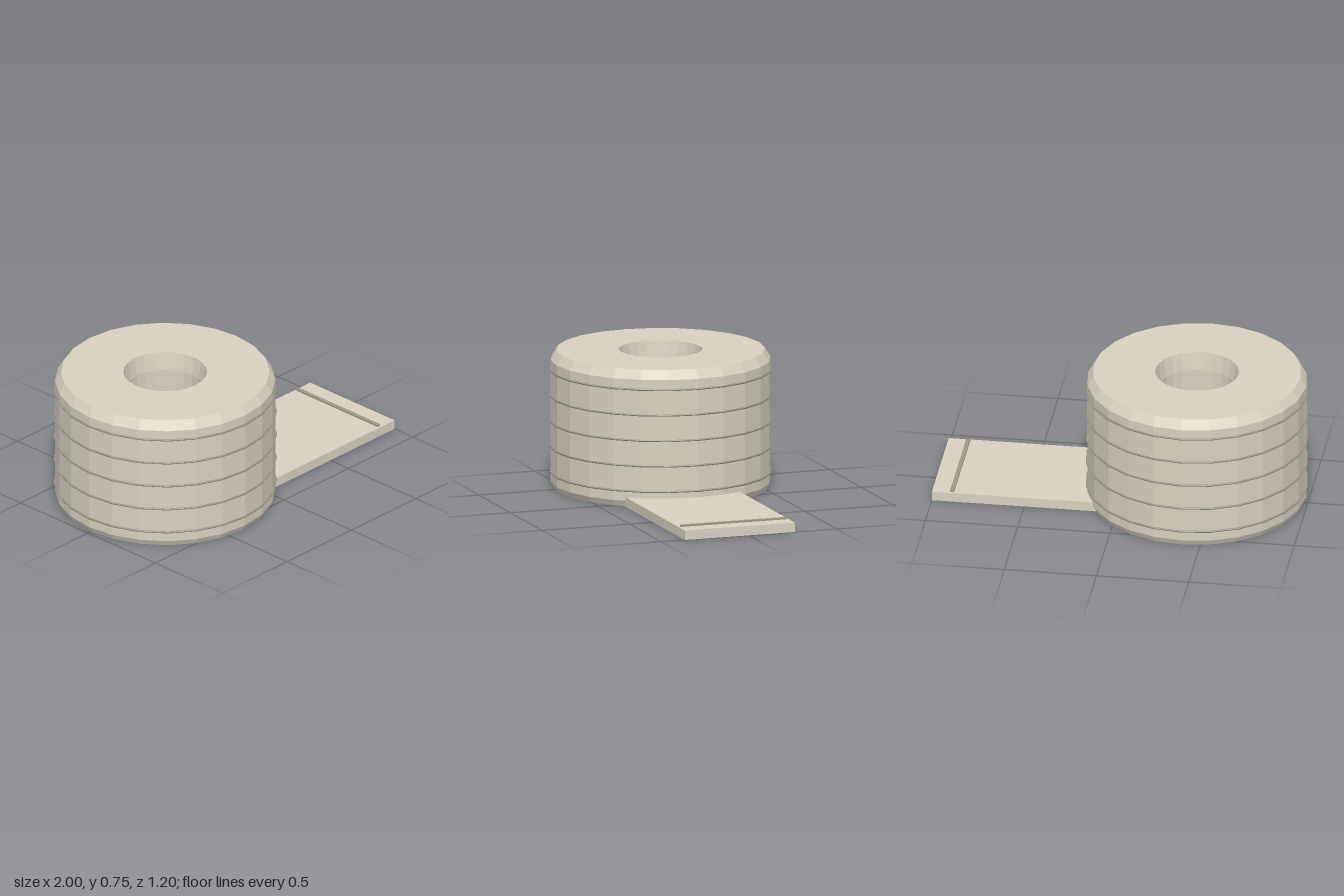
import * as THREE from 'three';

const SIDES = 24;
const CENTRE_X = -0.4;

// Faceted look: every face gets its own normal
function faceted(geometry) {
  const g = geometry.toNonIndexed();
  g.computeVertexNormals();
  return g;
}

export function createModel() {
  const paper = new THREE.MeshStandardMaterial({ name: 'paper', color: 0xd8d1c0 });
  const line = new THREE.MeshStandardMaterial({ name: 'perforation', color: 0x9c9785 });

  const model = new THREE.Group();
  model.name = 'paperRoll';
  const add = (name, geometry, material, x, y, z) => {
    const mesh = new THREE.Mesh(geometry, material);
    mesh.name = name;
    mesh.position.set(x, y, z);
    model.add(mesh);
    return mesh;
  };

  // Roll with bevelled rims and a hollow core, one closed profile
  const profile = [
    [0.21, 0], [0.575, 0], [0.592, 0.033], [0.592, 0.7],
    [0.56, 0.75], [0.225, 0.75], [0.21, 0.65], [0.21, 0],
  ].map(([r, y]) => new THREE.Vector2(r, y));
  add('roll', faceted(new THREE.LatheGeometry(profile, SIDES)), paper, CENTRE_X, 0, 0);

  // Perforation rings around the roll
  const ringGeometry = faceted(new THREE.TorusGeometry(0.594, 0.006, 6, SIDES).rotateX(Math.PI / 2));
  for (let i = 0; i < 5; i++) {
    add(`perforationRing${i + 1}`, ringGeometry, line, CENTRE_X, 0.088 + i * 0.1395, 0);
  }

  // Loose sheet lying on the ground, with its tear line
  add('looseSheet', new THREE.BoxGeometry(1.1, 0.052, 0.627), paper, 0.45, 0.026, 0.0515);
  add('tearLine', new THREE.BoxGeometry(0.022, 0.012, 0.6), line, 0.892, 0.055, 0.051);

  return model;
}
